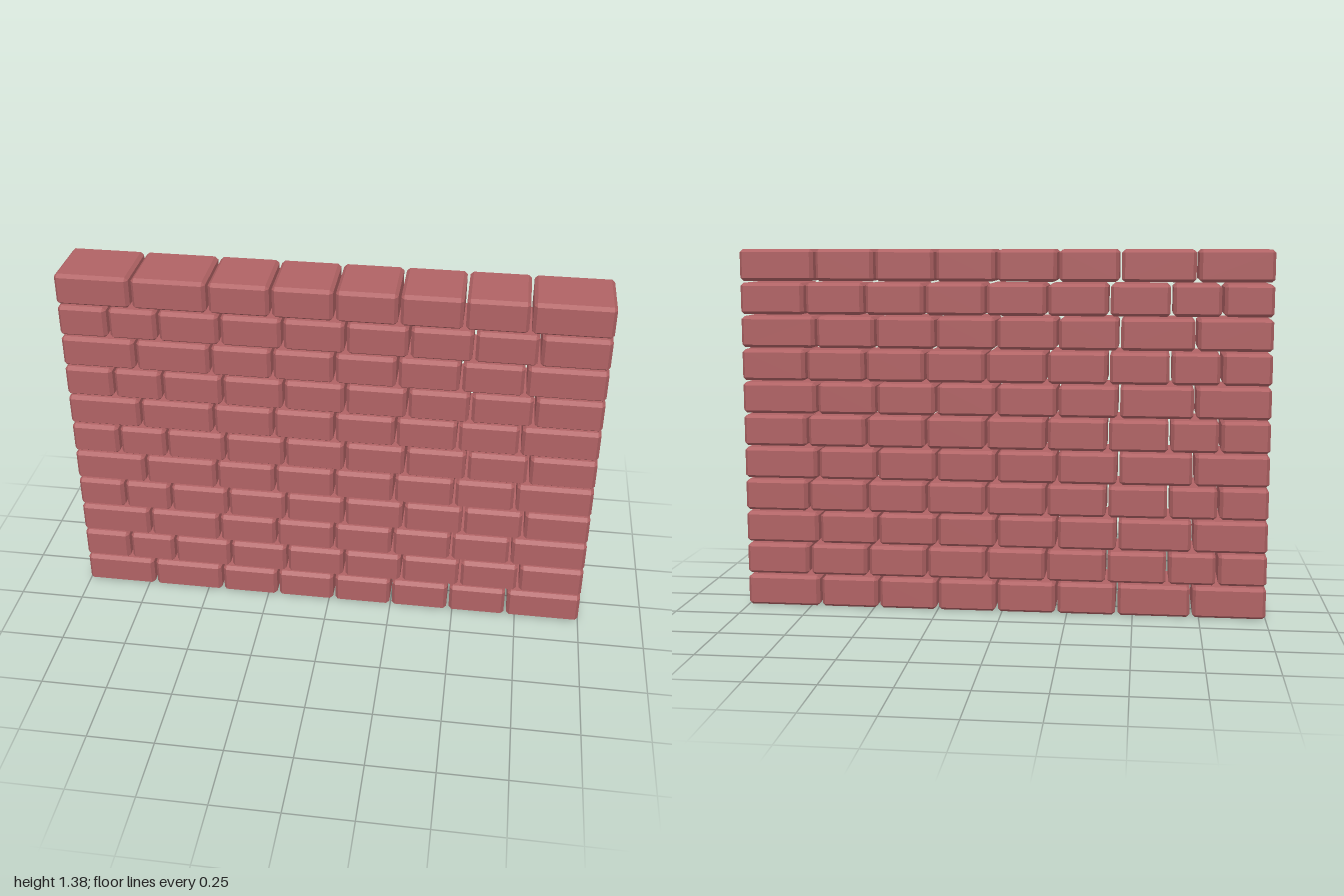
import * as THREE from 'three';
import { ConvexGeometry } from 'three/addons/geometries/ConvexGeometry.js';

const ROWS = 11, PITCH = 0.1264, HEIGHT = 0.119, DEPTH = 0.256, GAP = 0.01;
const BEVEL = { x: 0.012, y: 0.011, z: 0.016 };

// Box with flat chamfers along every edge
function brickGeometry(width) {
  const x = width / 2, y = HEIGHT / 2, z = DEPTH / 2;
  const points = [];
  for (const sx of [-1, 1]) for (const sy of [-1, 1]) for (const sz of [-1, 1]) {
    points.push(
      new THREE.Vector3(sx * x, sy * (y - BEVEL.y), sz * (z - BEVEL.z)),
      new THREE.Vector3(sx * (x - BEVEL.x), sy * y, sz * (z - BEVEL.z)),
      new THREE.Vector3(sx * (x - BEVEL.x), sy * (y - BEVEL.y), sz * z)
    );
  }
  return new ConvexGeometry(points);
}

// Joint centres of the two alternating courses
const steps = (start, count) => Array.from({ length: count }, (_, i) => start + i * 0.23);
const evenCourse = [-0.721, ...steps(-0.439, 6)];
const oddCourse = [-0.815, ...steps(-0.629, 7)];

export function createModel() {
  const wall = new THREE.Group();
  wall.name = 'brickWall';
  const brickRed = new THREE.MeshStandardMaterial({ color: 0xb06264 });
  brickRed.name = 'brickRed';

  for (let row = 0; row < ROWS; row++) {
    const course = new THREE.Group();
    course.name = `course${row + 1}`;
    course.position.y = row * PITCH + HEIGHT / 2;
    const joints = row % 2 ? oddCourse : evenCourse;
    const edges = [-1 - GAP / 2, ...joints, 1 + GAP / 2];
    for (let i = 0; i < edges.length - 1; i++) {
      const brick = new THREE.Mesh(brickGeometry(edges[i + 1] - edges[i] - GAP), brickRed);
      brick.name = 'brick';
      brick.position.x = (edges[i] + edges[i + 1]) / 2;
      course.add(brick);
    }
    wall.add(course);
  }
  return wall;
}
